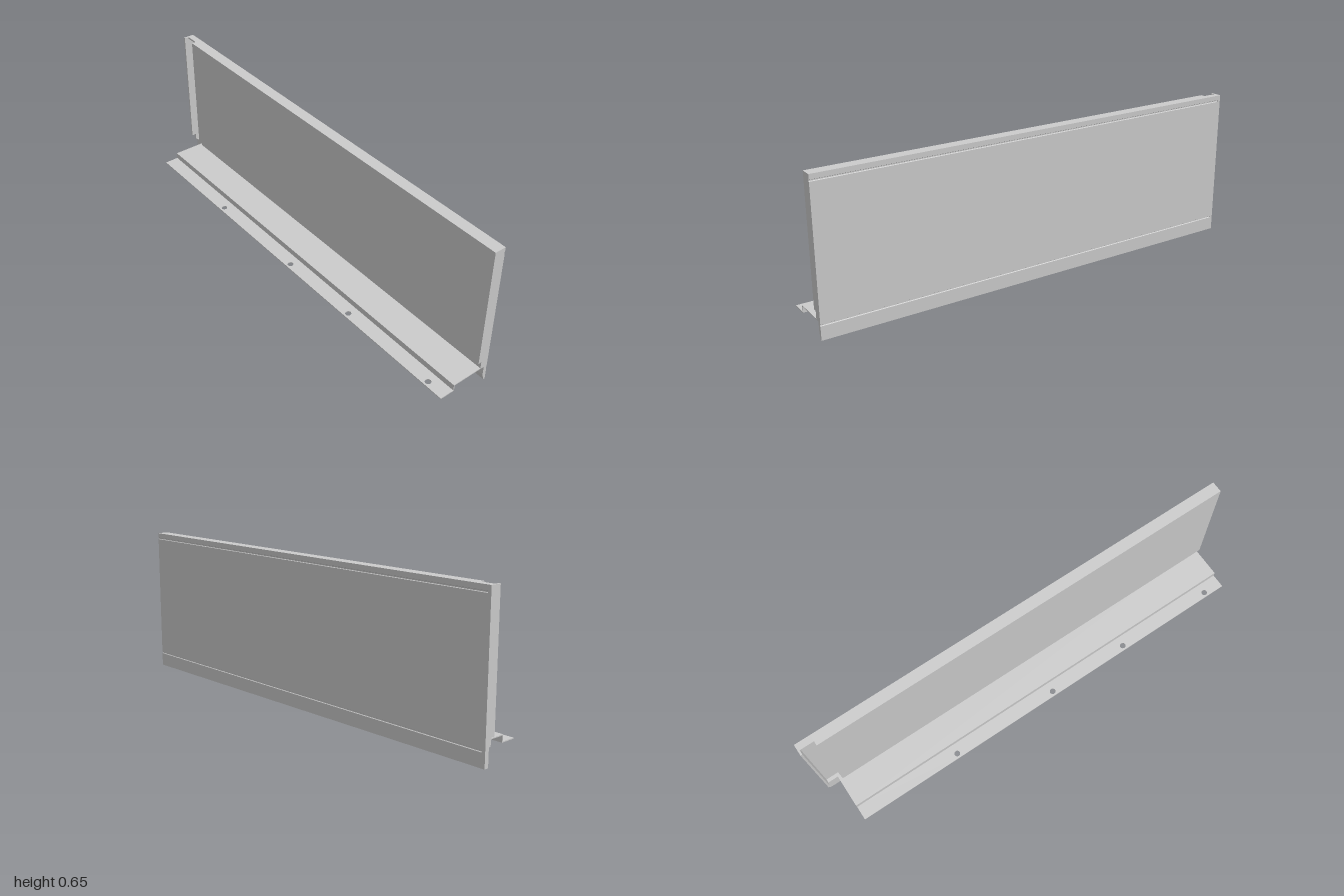
import * as THREE from 'three';

export function createModel() {
  const group = new THREE.Group();
  const material = new THREE.MeshStandardMaterial({ color: 0xcccccc });
  const add = (geometry, name) => {
    const mesh = new THREE.Mesh(geometry, material);
    mesh.name = name;
    group.add(mesh);
    return mesh;
  };
  // Straight bar: an x-y profile carried from z0 to z1
  const bar = (name, points, z0, z1) => {
    const shape = new THREE.Shape(points.map(([x, y]) => new THREE.Vector2(x, y)));
    const geometry = new THREE.ExtrudeGeometry(shape, { depth: z1 - z0, bevelEnabled: false });
    return add(geometry.translate(0, 0, z0), name);
  };
  const rect = (x0, x1, y0, y1) => [[x0, y0], [x1, y0], [x1, y1], [x0, y1]];

  const outer = 0.12, inner = 0.07, skin = 0.115, top = 0.655;
  const shelfTop = 0.077, sheet = 0.004;

  // Panel body, set back along its foot
  bar('panelCore', [[0.085, shelfTop], [skin, shelfTop], [skin, top], [inner, top],
    [inner, 0.11], [0.085, 0.11]], -0.93, 1);

  // Outer skin with two narrow grooves along its length
  const edge = [[skin, 0], [outer, 0]];
  for (const y of [0.063, 0.63]) {
    edge.push([outer, y - 0.004], [0.1165, y - 0.002], [0.1165, y + 0.002], [outer, y + 0.004]);
  }
  edge.push([outer, top], [skin, top]);
  bar('outerSkin', edge, -0.985, 1);
  bar('skinRearEdge', rect(skin, outer, 0, top), -0.992, -0.985);

  // Hooked lip closing the rear channel, narrower at its foot
  bar('rearLip', [[0.1, 0], [outer, 0], [outer, top], [inner, top],
    [inner, 0.11], [0.09, 0.11], [0.09, shelfTop], [0.1, shelfTop]], -1, -0.992);
  bar('channelTop', rect(0.09, skin, top - 0.008, top), -0.992, -0.93);

  // Skirt under the panel with a tapered front end
  bar('skirt', rect(0.099, skin, 0, shelfTop), -0.992, 0.9);
  bar('skirtFront', [[0.112, 0], [skin, 0], [skin, shelfTop], [0.104, shelfTop], [0.104, 0.03]], 0.9, 1);

  // Stepped shelf
  const zBack = -0.945, stepX = -0.053, footTop = 0.049;
  bar('shelf', [[stepX - sheet / 2, footTop - sheet], [stepX + sheet / 2, footTop - sheet],
    [stepX + sheet / 2, shelfTop - sheet], [0.104, shelfTop - sheet], [0.104, shelfTop],
    [stepX - sheet / 2, shelfTop]], zBack, 1);

  // Mounting flange with four round holes; shape y runs along -z
  const flange = new THREE.Shape([[-outer, -1], [stepX, -1], [stepX, -zBack], [-outer, -zBack]]
    .map(([x, y]) => new THREE.Vector2(x, y)));
  for (const z of [-0.46, 0.05, 0.44, 0.91]) {
    flange.holes.push(new THREE.Path().absarc(-0.099, -z, 0.013, 0, Math.PI * 2, true));
  }
  const plate = new THREE.ExtrudeGeometry(flange, { depth: sheet, bevelEnabled: false, curveSegments: 24 });
  add(plate.rotateX(-Math.PI / 2).translate(0, footTop - sheet, 0), 'mountingFlange');

  return group;
}
